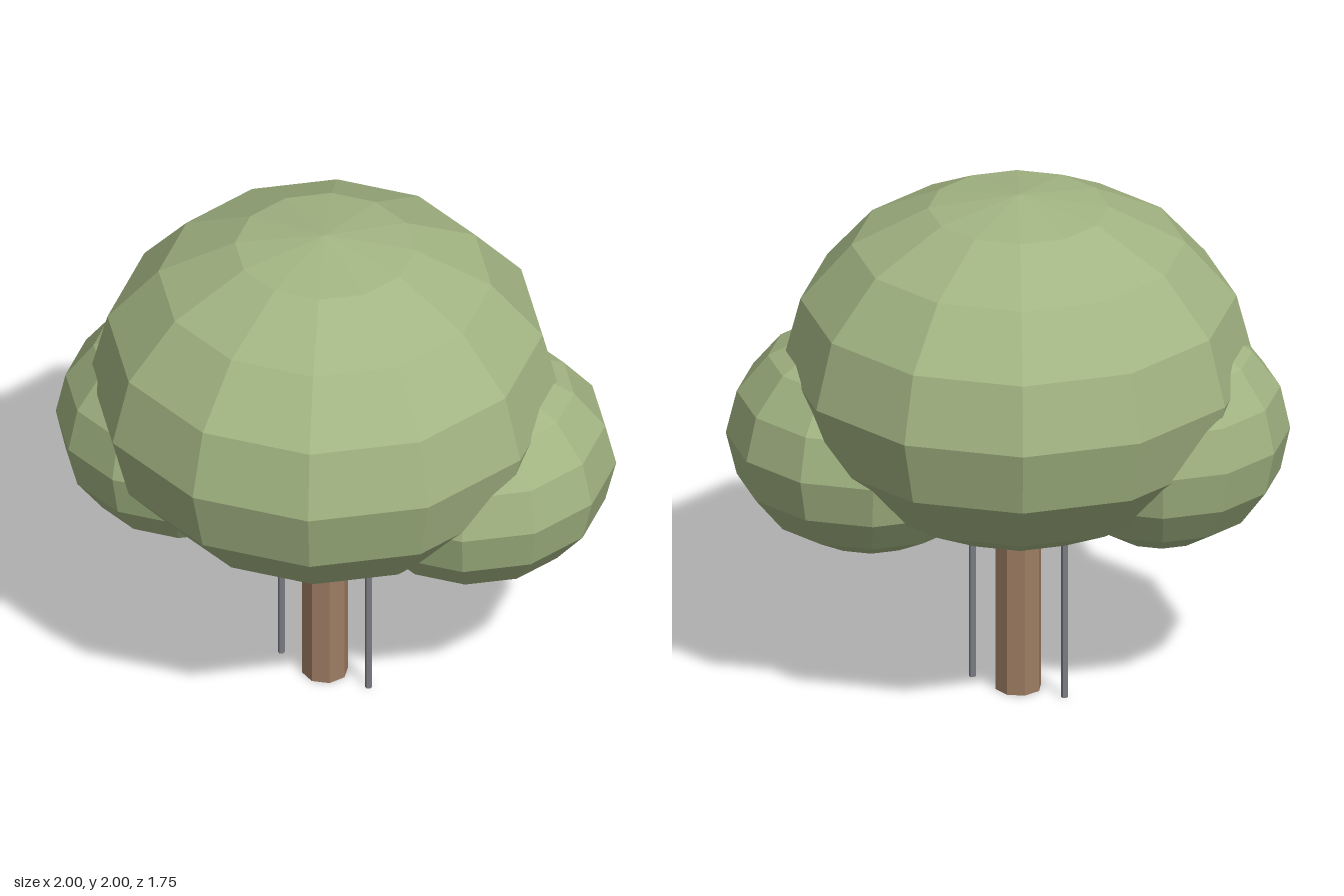
import * as THREE from 'three';

const material = (name, color) => {
  const m = new THREE.MeshStandardMaterial({ color, flatShading: true });
  m.name = name;
  return m;
};

export function createModel() {
  const tree = new THREE.Group();
  tree.name = 'tree';
  const leaf = material('leaf green', 0xa3b583);
  const bark = material('bark brown', 0x9c7c62);
  const metal = material('stake grey', 0x7c7f86);

  const add = (name, geometry, mat, x, y, z) => {
    const mesh = new THREE.Mesh(geometry, mat);
    mesh.name = name;
    mesh.position.set(x, y, z);
    tree.add(mesh);
    return mesh;
  };

  // Squashed faceted foliage clumps: radius, half height, centre
  const clumps = [
    ['mainCrown', 0.875, 0.675, -0.025, 1.325, 0],
    ['rightClump', 0.48, 0.44, -0.52, 1.08, 0.195],
    ['leftClump', 0.535, 0.44, 0.465, 1.03, -0.25],
  ];
  for (const [name, r, h, x, y, z] of clumps) {
    add(name, new THREE.SphereGeometry(1, 12, 8), leaf, x, y, z).scale.set(r, h, r);
  }

  // Octagonal trunk, running up into the crown
  add('trunk', new THREE.CylinderGeometry(0.0875, 0.0875, 0.8, 8), bark, -0.025, 0.4, 0);

  // Thin support stakes on either side of the trunk
  for (const [name, side] of [['rightStake', -1], ['leftStake', 1]]) {
    add(name, new THREE.CylinderGeometry(0.013, 0.013, 0.8, 6), metal, -0.025 + side * 0.195, 0.4, 0);
  }

  return tree;
}
